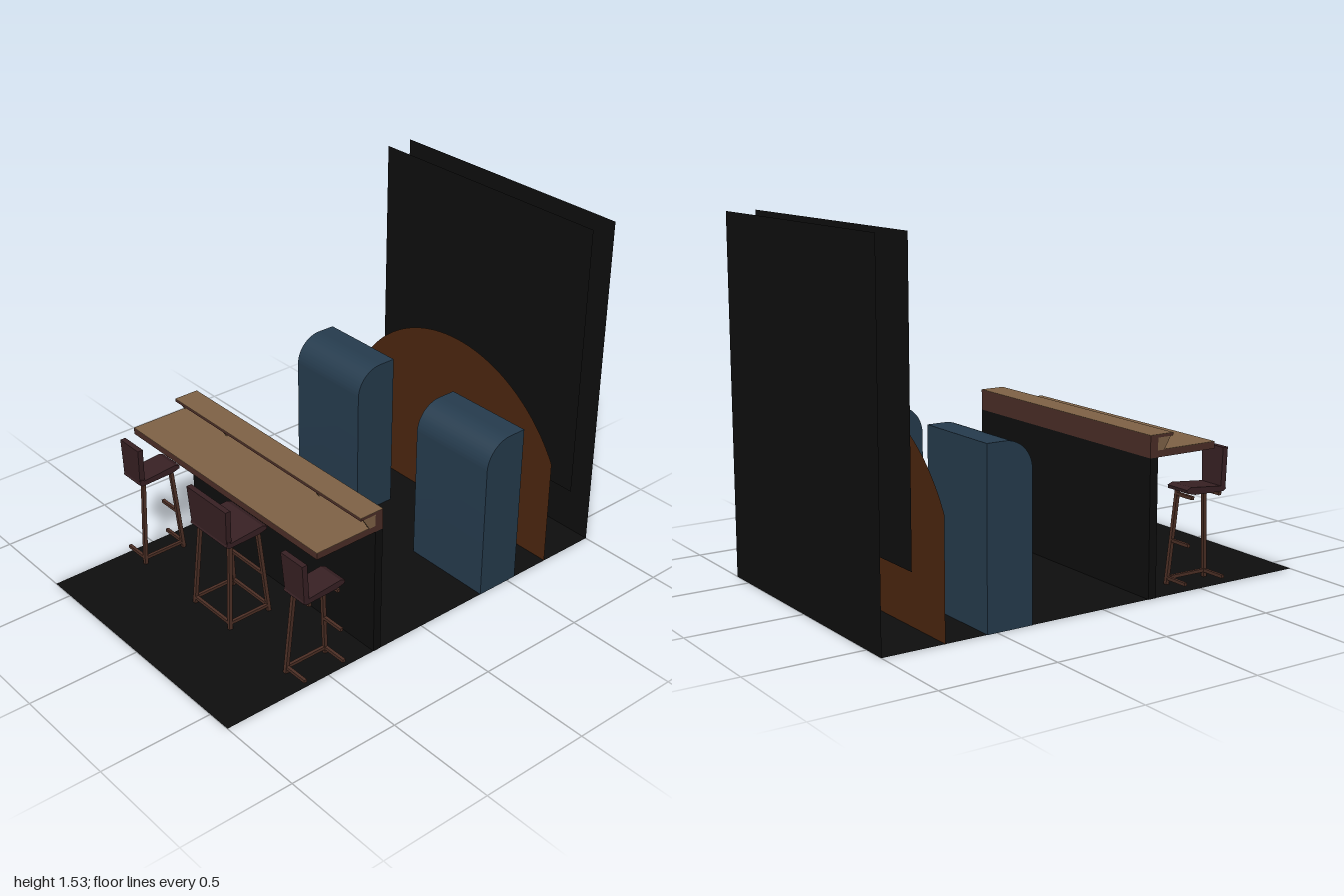
import * as THREE from 'three';
import { toCreasedNormals } from 'three/addons/utils/BufferGeometryUtils.js';

const W = 0.61; // half width of the set
const mat = (color, side = THREE.FrontSide) => new THREE.MeshStandardMaterial({ color, side });
const black = mat(0x0e0e0e);
const blackSheet = mat(0x0e0e0e, THREE.DoubleSide);
const orange = mat(0x4c260f, THREE.DoubleSide);
const blue = mat(0x263c4e);
const brown = mat(0x4c2e27);
const tan = mat(0x806347);
const legWood = mat(0x4e3026);
const leather = mat(0x382124);

function add(parent, name, geometry, material) {
  const mesh = new THREE.Mesh(geometry, material);
  mesh.name = name;
  parent.add(mesh);
  return mesh;
}

// Box given by its limits
function block(parent, name, material, [x0, x1], [y0, y1], [z0, z1]) {
  const g = new THREE.BoxGeometry(x1 - x0, y1 - y0, z1 - z0);
  g.translate((x0 + x1) / 2, (y0 + y1) / 2, (z0 + z1) / 2);
  return add(parent, name, g, material);
}

// Extrudes a (z, y) profile along x
function sideExtrude(shape, x0, x1) {
  const g = new THREE.ExtrudeGeometry(shape, { depth: x1 - x0, bevelEnabled: false, curveSegments: 16 });
  return g.rotateY(-Math.PI / 2).translate(x1, 0, 0);
}

const outline = (pts) => new THREE.Shape(pts.map(([x, y]) => new THREE.Vector2(x, y)));

// Square bar between two points
function bar(parent, name, a, b, size = 0.016) {
  const p = new THREE.Vector3(...a), q = new THREE.Vector3(...b);
  const mesh = add(parent, name, new THREE.BoxGeometry(size, p.distanceTo(q), size), legWood);
  mesh.position.copy(p).add(q).multiplyScalar(0.5);
  mesh.quaternion.setFromUnitVectors(new THREE.Vector3(0, 1, 0), q.sub(p).normalize());
}

// One half of a stool, on side s (+1 or -1) of its centre line
function halfStool(s) {
  const g = new THREE.Group();
  g.name = 'halfStool';
  const seat = outline([[0.625, 0.405], [0.61, 0.395], [0.46, 0.4], [0.42, 0.41],
    [0.417, 0.424], [0.44, 0.433], [0.6, 0.418], [0.615, 0.43]]);
  add(g, 'seat', sideExtrude(seat, Math.min(0, s * 0.122), Math.max(0, s * 0.122)), leather);

  // Backrest with cut lower corners, leaning slightly
  const back = outline([[0, 0.4], [s * 0.105, 0.4], [s * 0.12, 0.425], [s * 0.131, 0.578], [0, 0.578]]);
  const backGeo = new THREE.ExtrudeGeometry(back, { depth: 0.025, bevelEnabled: false });
  const p = backGeo.attributes.position;
  for (let i = 0; i < p.count; i++) p.setZ(i, p.getZ(i) + 0.596 + (p.getY(i) - 0.4) * 0.05);
  backGeo.computeVertexNormals();
  add(g, 'backrest', backGeo, leather);

  // Splayed legs; t runs from floor (0) to seat (1)
  const at = (rear, y) => {
    const t = y / 0.4;
    return [s * (0.121 - 0.022 * t), y, rear ? 0.62 - 0.028 * t : 0.417 + 0.033 * t];
  };
  for (const rear of [true, false]) {
    bar(g, 'leg', at(rear, 0.002), at(rear, 0.4));
    for (const y of rear ? [0.03, 0.387] : [0.03, 0.19, 0.387]) {
      const end = at(rear, y);
      bar(g, 'crossRail', [0, y, end[2]], end, 0.014);
    }
  }
  bar(g, 'sideRail', at(true, 0.03), at(false, 0.03), 0.014);
  return g;
}

export function createModel() {
  const model = new THREE.Group();
  model.name = 'barScene';

  // Floor and two back sheets
  add(model, 'floor', new THREE.PlaneGeometry(2 * W, 2).rotateX(-Math.PI / 2).translate(0, 0.001, 0), blackSheet);
  add(model, 'backWall', new THREE.PlaneGeometry(2 * W, 1.53).translate(0, 0.765, -1), blackSheet);
  add(model, 'hangingSheet', new THREE.PlaneGeometry(2 * W, 1.23).translate(0, 0.915, -0.87), blackSheet);

  // Round backdrop, cut at the floor and both sides
  const R = 0.695, cy = 0.16;
  const a = Math.acos(W / R);
  const disc = new THREE.Shape();
  disc.moveTo(-W, 0);
  disc.lineTo(W, 0);
  disc.absarc(0, cy, R, a, Math.PI - a, false);
  add(model, 'roundBackdrop', new THREE.ShapeGeometry(disc, 40).translate(0, 0, -0.73), orange);

  // Booth backs with a rounded front top edge
  const booth = new THREE.Shape();
  booth.moveTo(-0.545, 0);
  booth.lineTo(-0.34, 0);
  booth.absarc(-0.465, 0.61, 0.125, 0, Math.PI / 2, false);
  booth.lineTo(-0.545, 0.735);
  for (const [x0, x1] of [[-W, -0.19], [0.19, W]])
    add(model, 'booth', toCreasedNormals(sideExtrude(booth, x0, x1), Math.PI / 6), blue);

  // Counter with raised ledge
  const counter = new THREE.Group();
  counter.name = 'counter';
  model.add(counter);
  const full = [-W, W];
  block(counter, 'frontPanel', black, full, [0, 0.58], [0.226, 0.264]);
  block(counter, 'backBoard', brown, full, [0.58, 0.66], [0.226, 0.264]);
  block(counter, 'counterSlab', brown, full, [0.58, 0.608], [0.264, 0.558]);
  block(counter, 'counterTop', tan, full, [0.608, 0.61], [0.264, 0.558]);
  block(counter, 'ledge', brown, full, [0.66, 0.671], [0.226, 0.34]);
  block(counter, 'ledgeTop', tan, full, [0.671, 0.673], [0.226, 0.34]);
  const bracket = outline([[0.264, 0.61], [0.297, 0.61], [0.328, 0.66], [0.264, 0.66]]);
  for (const x of [-W + 0.004, -0.305, 0.305, W - 0.004])
    add(counter, 'ledgeBracket', sideExtrude(bracket, x - 0.004, x + 0.004), tan);

  // Whole stool in the middle, half stools at the edges
  for (const [x, s] of [[0, 1], [0, -1], [-W, 1], [W, -1]]) {
    const half = halfStool(s);
    half.position.x = x;
    model.add(half);
  }
  return model;
}
